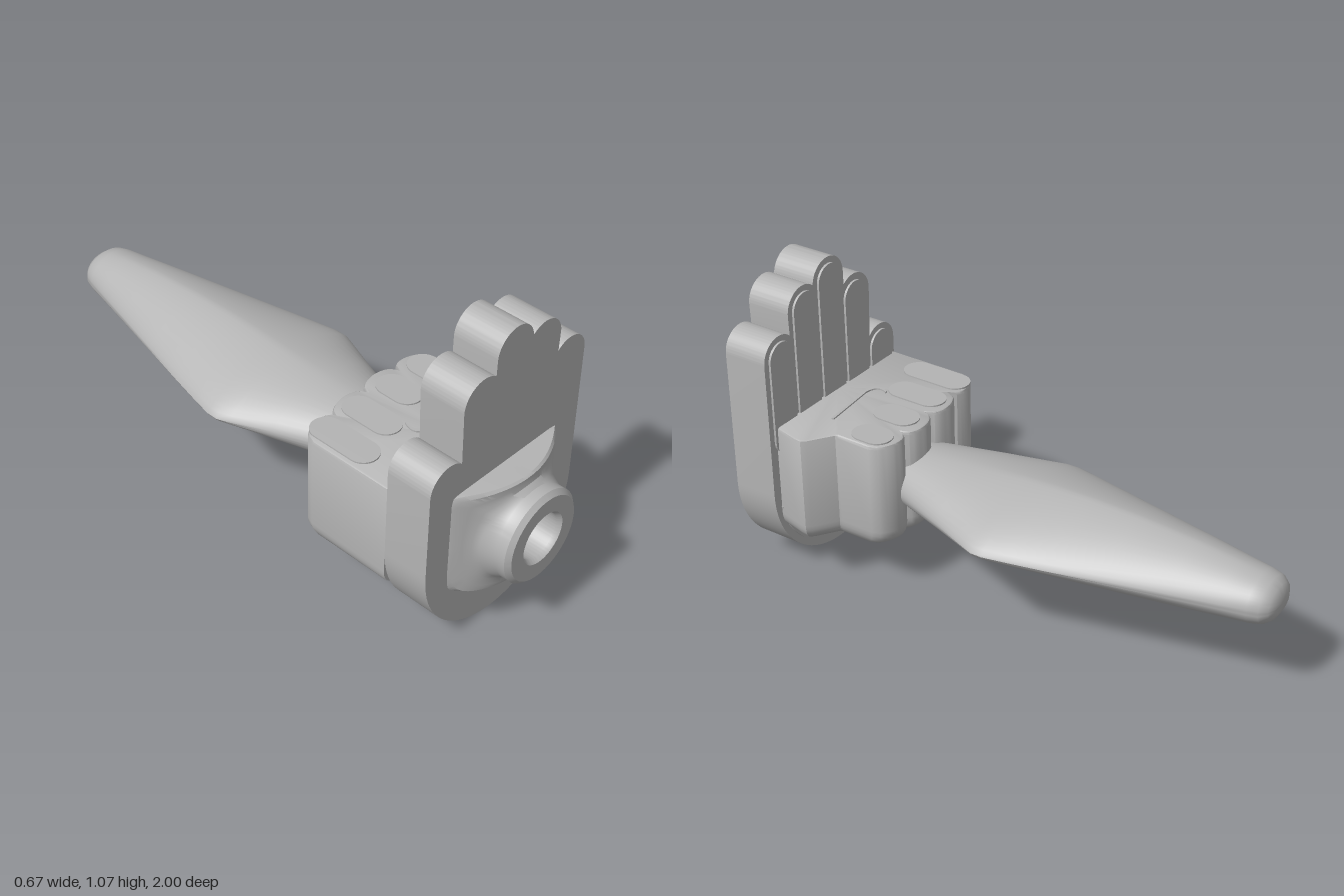
import * as THREE from 'three';
import { toCreasedNormals } from 'three/addons/utils/BufferGeometryUtils.js';

const grey = new THREE.MeshStandardMaterial({ color: 0xb4b4b4 });
grey.name = 'plain grey';
const CY = 0.38; // height of the central bore

// Skin a list of rings, each a list of [x, y, z]
function loft(rings, closed, crease) {
  const n = rings[0].length, index = [];
  for (let i = 0; i < rings.length - 1; i++) {
    for (let j = 0; j < (closed ? n : n - 1); j++) {
      const k = (j + 1) % n;
      const a = i * n + j, b = i * n + k, c = b + n, d = a + n;
      index.push(a, d, c, a, c, b);
    }
  }
  const g = new THREE.BufferGeometry();
  g.setAttribute('position', new THREE.Float32BufferAttribute(rings.flat(2), 3));
  g.setIndex(index);
  return toCreasedNormals(g, crease);
}

function extrude(shape, depth) {
  const g = new THREE.ExtrudeGeometry(shape, { depth, bevelEnabled: false, curveSegments: 24 });
  return toCreasedNormals(g, 0.5);
}

// Upright capsule outline between two centre heights
function capsule(x, y0, y1, r) {
  const s = new THREE.Shape();
  s.absarc(x, y1, r, 0, Math.PI, false);
  s.absarc(x, y0, r, Math.PI, 2 * Math.PI, false);
  s.closePath();
  return s;
}

function boreHole(r) {
  return new THREE.Path().absarc(0, CY, r, 0, Math.PI * 2, true);
}

export function createModel() {
  const model = new THREE.Group();
  const add = (name, geometry) => {
    const m = new THREE.Mesh(geometry, grey);
    m.name = name;
    model.add(m);
    return m;
  };

  // Open hand plate: palm arc, then the five fingertips from right to left
  const rad = THREE.MathUtils.degToRad;
  const tips = [
    [0.258, 0.82, 0.077, 0, 134],
    [0.13, 0.945, 0.077, 0, 130],
    [0, 0.993, 0.078, 8, 180],
    [-0.13, 0.88, 0.08, 50, 180],
    [-0.258, 0.643, 0.077, 45, 180],
  ];
  const hand = new THREE.Shape();
  hand.absarc(0, 0.335, 0.335, Math.PI, 2 * Math.PI, false);
  for (const [x, y, r, a, b] of tips) hand.absarc(x, y, r, rad(a), rad(b), false);
  hand.closePath();
  hand.holes.push(boreHole(0.081));
  add('openHand', extrude(hand, 0.16).translate(0, 0, 0.68));

  // Raised finger and palm panels on the back of the plate
  for (const [x, y] of tips) {
    add('fingerPanel', extrude(capsule(x, 0.53, y, 0.056), 0.008).translate(0, 0, 0.672));
  }
  const palm = new THREE.Shape();
  palm.absarc(0, 0.335, 0.31, Math.PI + 0.18, 2 * Math.PI - 0.18, false);
  palm.closePath();
  add('palmPanel', extrude(palm, 0.008).translate(0, 0, 0.672));

  // Curved front boss with collar and bore, swept from the bore outwards
  const N = 96, angles = Array.from({ length: N }, (_, j) => (j / N) * Math.PI * 2 + Math.PI / 4);
  const circle = (r, z) => angles.map(a => [r * Math.cos(a), CY + r * Math.sin(a), z]);
  const bulge = x => 0.842 + 0.09 * (1 - (x / 0.237) ** 2);
  const edge = a => {
    // Rounded rectangle, with larger corners at the bottom
    const c = Math.cos(a), s = Math.sin(a);
    const k = s > 0 ? 30 : 7, h = s > 0 ? 0.205 : 0.192;
    const r = (Math.abs(c / 0.237) ** k + Math.abs(s / h) ** k) ** (-1 / k);
    return [r * c, r * s];
  };
  const flare = (t, lift, drop = 0) => angles.map(a => {
    const [ex, ey] = edge(a);
    const x = THREE.MathUtils.lerp(0.16 * Math.cos(a), ex, t);
    const y = THREE.MathUtils.lerp(0.16 * Math.sin(a), ey, t);
    const low = drop * Math.max(0, -Math.sin(a));
    return [x, CY + y, Math.max(0.84, bulge(x) + lift - low)];
  });
  add('frontBoss', loft([
    circle(0.08, 0.68), circle(0.08, 0.985), circle(0.09, 1.0),
    circle(0.145, 1.0), circle(0.16, 0.985), circle(0.16, 0.95),
    flare(0.12, 0.012), flare(0.3, 0.002), flare(0.6, 0), flare(0.88, 0, 0.005), flare(1, -0.008, 0.025),
    angles.map(a => [edge(a)[0], CY + edge(a)[1], 0.835]),
  ], true, 0.6));

  // Fist outline seen from above: thumb side, four knuckles, outer side
  const outline = [[0.302, 0.68], [0.326, 0.585], [0.328, 0.56], [0.315, 0.545], [0.236, 0.49], [0.233, 0.48]];
  const cusps = [[0.233, 0.36], [0.1, 0.328], [-0.05, 0.335], [-0.2, 0.347], [-0.335, 0.38]];
  for (let i = 0; i < 4; i++) {
    const [x0, z0] = cusps[i], [x1, z1] = cusps[i + 1];
    for (let j = 0; j <= 12; j++) {
      if (i > 0 && j === 0) continue;
      const t = j / 12;
      const arch = Math.sqrt(1 - (2 * t - 1) ** 2);
      outline.push([x0 + (x1 - x0) * t, z0 + (z1 - z0) * t - 0.046 * arch]);
    }
  }
  outline.push([-0.335, 0.68]);
  const ring = (y, s) => outline.map(([x, z]) => [-0.02 + (x + 0.02) * s, y, 0.68 + (z - 0.68) * s]);
  const fist = [ring(0.583, 0), ring(0.583, 0.975), ring(0.58, 0.99), ring(0.572, 1)];
  for (let i = 0; i <= 6; i++) {
    const a = (i / 6) * Math.PI / 2;
    fist.push(ring(0.255 - 0.065 * Math.sin(a), 0.85 + 0.15 * Math.cos(a)));
  }
  fist.push(ring(0.19, 0));
  add('fist', loft(fist, false, 0.6));

  // Face closing the fist around the bore
  const face = new THREE.Shape();
  face.moveTo(-0.335, 0.58).lineTo(-0.335, 0.255).quadraticCurveTo(-0.33, 0.2, -0.285, 0.19);
  face.lineTo(0.255, 0.19).quadraticCurveTo(0.297, 0.2, 0.302, 0.255).lineTo(0.302, 0.58);
  face.closePath();
  face.holes.push(boreHole(0.09));
  add('fistFace', new THREE.ShapeGeometry(face, 24).translate(0, 0, 0.679));

  // Thin finger and thumb pads on top of the fist
  const flat = (name, shape) => add(name, extrude(shape, 0.007).rotateX(-Math.PI / 2).translate(0, 0.581, 0));
  [[-0.265, 0.52], [-0.125, 0.48], [0.025, 0.43], [0.168, 0.41]].forEach(([x, z]) =>
    flat('knucklePad', capsule(x, -z, -0.37, 0.052)));
  const thumb = new THREE.Shape();
  thumb.moveTo(0.16, -0.555).lineTo(-0.04, -0.575).quadraticCurveTo(-0.1, -0.57, -0.075, -0.52);
  thumb.lineTo(-0.082, -0.52).quadraticCurveTo(-0.115, -0.585, -0.04, -0.585).lineTo(0.16, -0.565);
  thumb.closePath();
  flat('thumbLine', thumb);

  // Blade stations: z, half width, half height, roundness exponent
  const stations = [
    [0.42, 0.1, 0.09, 2], [0.3, 0.152, 0.095, 2], [0.1, 0.23, 0.108, 1.7], [-0.04, 0.287, 0.117, 1.45],
    [-0.08, 0.302, 0.12, 1.4], [-0.12, 0.302, 0.122, 1.4], [-0.2, 0.285, 0.126, 1.4],
    [-0.33, 0.255, 0.129, 1.4], [-0.5, 0.213, 0.125, 1.45], [-0.7, 0.163, 0.112, 1.55],
    [-0.85, 0.126, 0.094, 1.7], [-0.93, 0.106, 0.083, 1.9], [-0.965, 0.095, 0.073, 2],
    [-0.988, 0.075, 0.055, 2], [-1, 0.045, 0.03, 2], [-1, 0, 0, 2],
  ];
  const pow = (v, e) => Math.sign(v) * Math.abs(v) ** e;
  add('blade', loft(stations.map(([z, w, h, e]) =>
    Array.from({ length: 48 }, (_, j) => {
      const a = (j / 48) * Math.PI * 2;
      return [w * pow(Math.cos(a), 2 / e), CY + h * pow(Math.sin(a), 2 / e), z];
    })), true, 0.7));

  return model;
}
